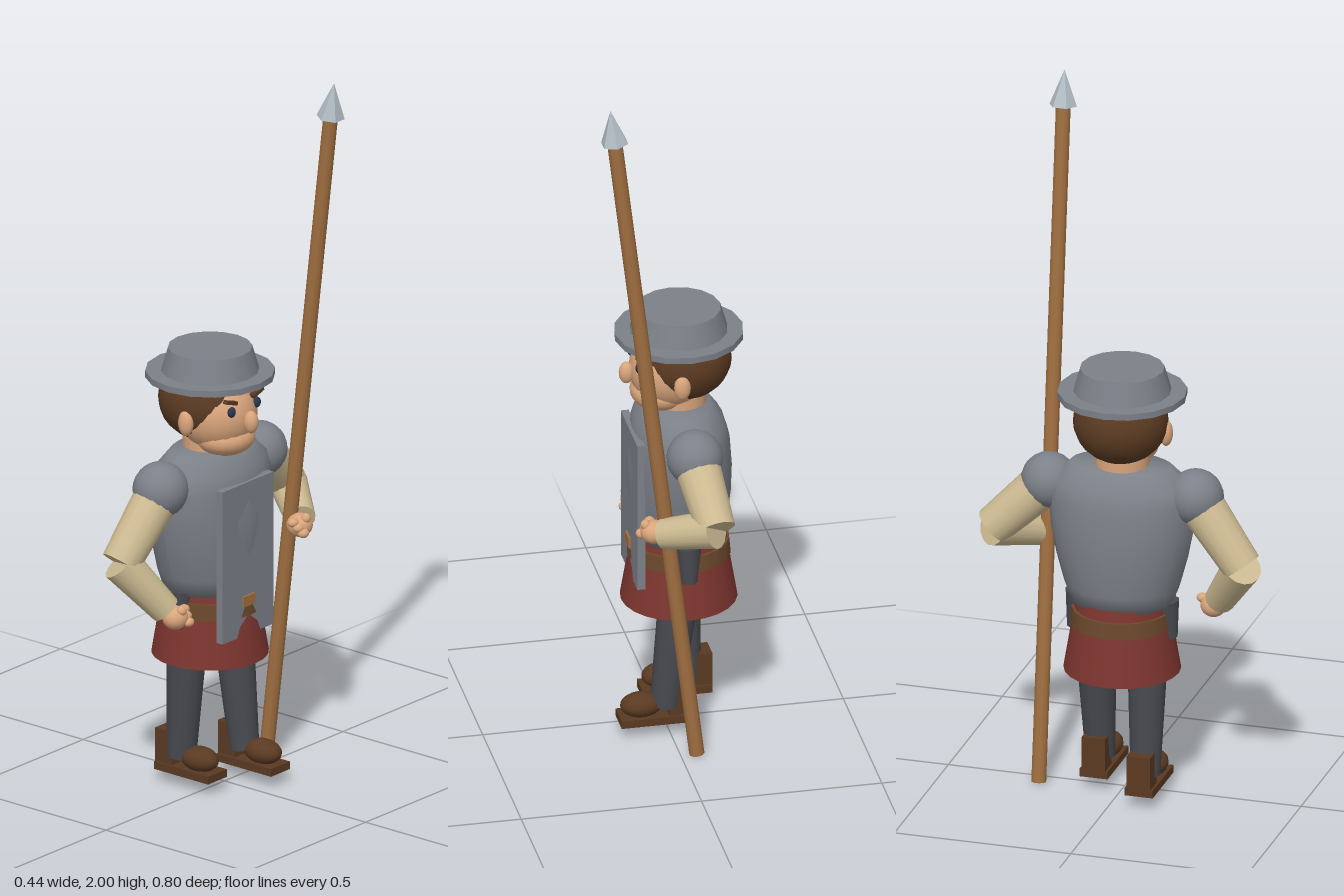
import * as THREE from 'three';

const paint = (name, color) => {
  const m = new THREE.MeshStandardMaterial({ color });
  m.name = name;
  return m;
};

export function createModel() {
  const steel = paint('steel', 0x7c8088);
  const linen = paint('linen', 0xcdbb92);
  const slate = paint('slate wool', 0x484a50);
  const skin = paint('skin', 0xd9a57c);
  const brown = paint('dark brown', 0x5a3a22);
  const red = paint('red cloth', 0x7d352f);
  const leather = paint('belt leather', 0x6a482b);
  const wood = paint('wood', 0xa06f40);
  const tip = paint('bright steel', 0xb2bcc4);
  const eyeBlue = paint('eye blue', 0x2b3652);

  const model = new THREE.Group();
  model.name = 'guard';
  const V = (x, y, z) => new THREE.Vector3(x, y, z);
  const CX = -0.045, CZ = 0.007; // body axis

  const add = (name, geo, mat, x = 0, y = 0, z = 0) => {
    const m = new THREE.Mesh(geo, mat);
    m.name = name;
    m.position.set(x, y, z);
    model.add(m);
    return m;
  };
  const ball = (name, mat, x, y, z, rx, ry = rx, rz = rx) => {
    const g = new THREE.SphereGeometry(1, 20, 14).scale(rx, ry, rz);
    return add(name, g, mat, x, y, z);
  };
  const box = (name, mat, x, y, z, w, h, d) =>
    add(name, new THREE.BoxGeometry(w, h, d), mat, x, y, z);
  // tapered rod from a (radius ra) to b (radius rb)
  const limb = (name, mat, a, b, ra, rb, sides = 14) => {
    const dir = b.clone().sub(a);
    const m = add(name, new THREE.CylinderGeometry(rb, ra, dir.length(), sides), mat);
    m.position.copy(a).addScaledVector(dir, 0.5);
    m.quaternion.setFromUnitVectors(V(0, 1, 0), dir.normalize());
    return m;
  };
  const tube = (name, mat, y0, y1, r0, r1, sides = 16) =>
    add(name, new THREE.CylinderGeometry(r1, r0, y1 - y0, sides), mat, CX, (y0 + y1) / 2, CZ);

  // Breastplate: lathe flattened front to back, rounder at the waist
  const profile = [[0, 0.57], [0.14, 0.57], [0.16, 0.62], [0.182, 0.7], [0.198, 0.78],
    [0.205, 0.87], [0.192, 0.92], [0.142, 0.968], [0, 0.97]];
  const chest = new THREE.LatheGeometry(profile.map(p => new THREE.Vector2(...p)), 24);
  const pos = chest.attributes.position;
  for (let i = 0; i < pos.count; i++) {
    pos.setX(i, pos.getX(i) * (0.85 - (pos.getY(i) - 0.57) * 0.65));
  }
  chest.computeVertexNormals();
  add('breastplate', chest, steel, CX, 0, CZ);
  box('frontPlate', steel, 0.081, 0.67, 0.01, 0.022, 0.44, 0.215);

  // Skirt, belt and buckle
  tube('skirt', red, 0.37, 0.58, 0.16, 0.125, 24);
  tube('belt', leather, 0.505, 0.55, 0.142, 0.138, 20);
  box('buckle', wood, 0.088, 0.55, 0.01, 0.02, 0.03, 0.048);
  for (const s of [1, -1]) {
    limb('beltPouch', slate, V(CX, 0.475, CZ + s * 0.135), V(CX, 0.58, CZ + s * 0.125), 0.022, 0.036, 10);
  }

  // Head
  tube('neck', skin, 0.93, 1.0, 0.075, 0.075);
  ball('face', skin, -0.02, 1.07, CZ, 0.112, 0.11, 0.108);
  ball('jaw', skin, 0.008, 1.005, CZ, 0.082, 0.052, 0.085);
  ball('hair', brown, -0.06, 1.1, CZ, 0.13, 0.118, 0.13);
  ball('nose', skin, 0.1, 1.065, CZ, 0.021, 0.032, 0.02);
  for (const s of [1, -1]) {
    ball('ear', skin, -0.03, 1.065, CZ + s * 0.12, 0.023, 0.037, 0.018);
    ball('eye', eyeBlue, 0.076, 1.102, CZ + s * 0.053, 0.01, 0.015, 0.013);
    const brow = box('eyebrow', brown, 0.074, 1.13, CZ + s * 0.055, 0.016, 0.01, 0.045);
    brow.rotation.x = -s * 0.3;
  }

  // Kettle hat
  tube('hatBrim', steel, 1.166, 1.184, 0.177, 0.177);
  tube('hatCrown', steel, 1.184, 1.25, 0.134, 0.115);

  // Arms: left on the hip, right holding the spear
  const arms = [
    { side: 1, elbow: V(-0.07, 0.715, 0.355), wrist: V(0.015, 0.575, 0.265), hand: V(0.03, 0.55, 0.243) },
    { side: -1, elbow: V(-0.072, 0.75, -0.352), wrist: V(0.055, 0.7, -0.255), hand: V(0.075, 0.695, -0.228) },
  ];
  for (const { side, elbow, wrist, hand } of arms) {
    const shoulder = V(CX, 0.895, CZ + side * 0.208);
    ball('shoulderPlate', steel, shoulder.x, shoulder.y, shoulder.z, 0.077);
    limb('upperArm', linen, shoulder, elbow, 0.064, 0.054);
    limb('forearm', linen, elbow, wrist, 0.054, 0.042);
    ball('hand', skin, hand.x, hand.y, hand.z, 0.036, 0.033, 0.036);
    for (let i = 0; i < 3; i++) {
      ball('finger', skin, hand.x + 0.004 + i * 0.013, hand.y + 0.016 - i * 0.014,
        hand.z - side * 0.032 + side * i * 0.006, 0.015, 0.013, 0.017);
    }
    ball('thumb', skin, hand.x + 0.022, hand.y + 0.024, hand.z, 0.014);
  }

  // Legs and boots, right foot a step ahead
  const legs = [
    { z: 0.084, hipX: -0.062, footX: -0.082 },
    { z: -0.072, hipX: -0.03, footX: 0.01 },
  ];
  for (const { z, hipX, footX } of legs) {
    limb('leg', slate, V(footX, 0.08, z), V(hipX, 0.42, z), 0.041, 0.056);
    box('bootHeel', brown, footX - 0.036, 0.103, z, 0.06, 0.1, 0.066);
    ball('bootToe', brown, footX + 0.066, 0.085, z, 0.058, 0.034, 0.042);
    box('bootSole', brown, footX + 0.032, 0.047, z, 0.192, 0.022, 0.08);
  }

  // Spear
  const at = y => V(-0.045 + y * 0.12, y, -0.23);
  limb('spearShaft', wood, at(0.003), at(1.91), 0.021, 0.021, 10);
  const head = limb('spearHead', tip, at(1.9), at(2), 0.039, 0, 6);
  head.geometry = head.geometry.toNonIndexed();
  head.geometry.computeVertexNormals();

  return model;
}
